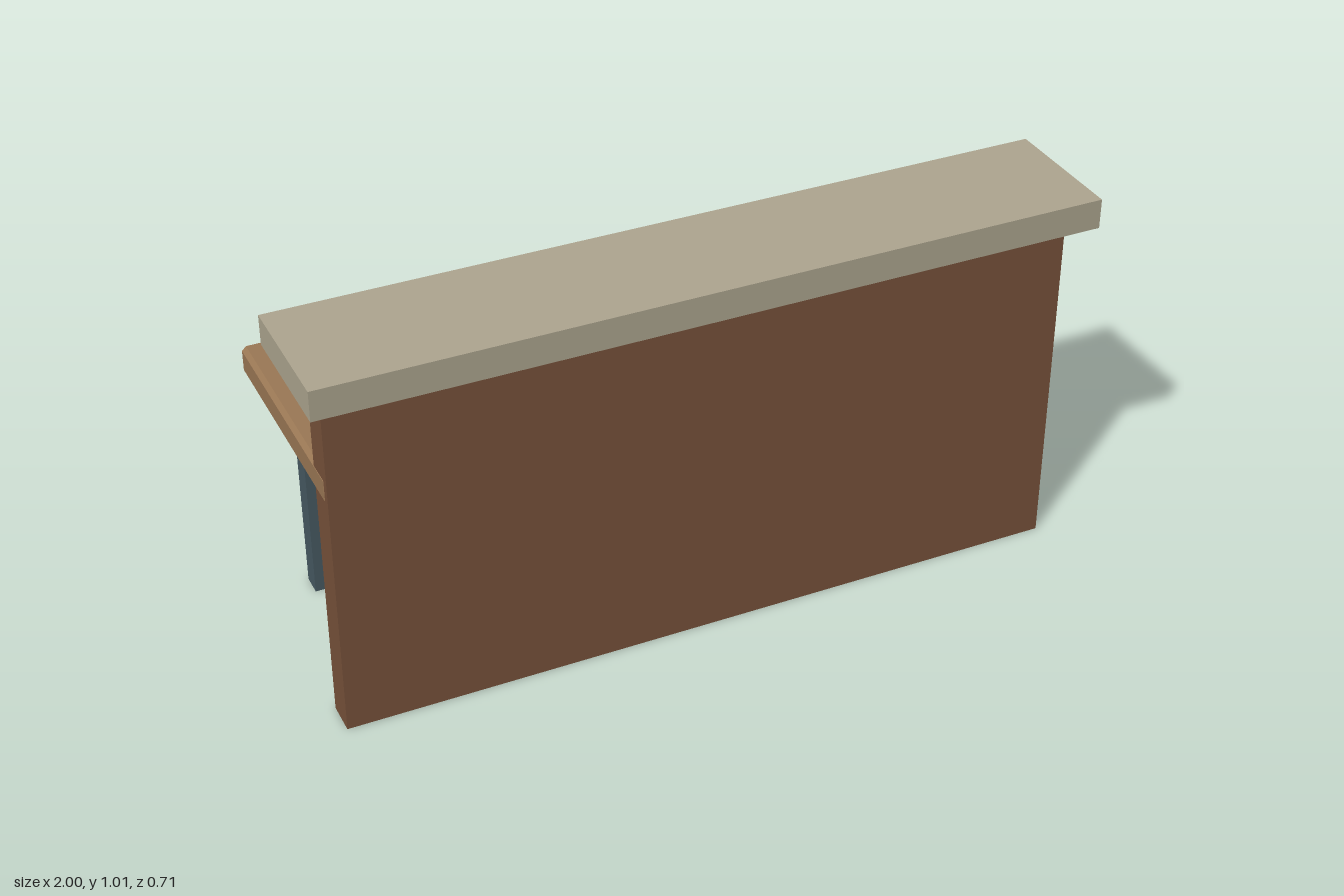
import * as THREE from 'three';
import { ConvexGeometry } from 'three/addons/geometries/ConvexGeometry.js';

function material(name, color) {
  const m = new THREE.MeshStandardMaterial({ color });
  m.name = name;
  return m;
}

// Box with every edge cut at 45 degrees: three points around each corner
function chamferedBox(w, h, d, c) {
  const points = [];
  for (const sx of [-1, 1]) for (const sy of [-1, 1]) for (const sz of [-1, 1]) {
    const x = w / 2, y = h / 2, z = d / 2;
    points.push(
      new THREE.Vector3(sx * x, sy * (y - c), sz * (z - c)),
      new THREE.Vector3(sx * (x - c), sy * y, sz * (z - c)),
      new THREE.Vector3(sx * (x - c), sy * (y - c), sz * z)
    );
  }
  return new ConvexGeometry(points);
}

export function createModel() {
  const group = new THREE.Group();
  group.name = 'receptionDesk';

  const stone = material('stone beige', 0xaea690);
  const darkWood = material('dark wood', 0x78533b);
  const lightWood = material('light wood', 0x9b7855);
  const steel = material('blue grey steel', 0x475a63);

  const add = (name, geometry, mat, x, y, z) => {
    const mesh = new THREE.Mesh(geometry, mat);
    mesh.name = name;
    mesh.position.set(x, y, z);
    group.add(mesh);
  };

  // Front panel and the raised counter above it
  add('frontPanel', new THREE.BoxGeometry(1.91, 0.94, 0.086), darkWood, 0, 0.47, 0.235);
  add('counterTop', new THREE.BoxGeometry(2, 0.078, 0.347), stone, 0, 0.975, 0.182);

  // Work surface, let into the panel and just proud of its ends
  add('workSurface', chamferedBox(1.912, 0.076, 0.623, 0.011), lightWood, 0, 0.679, -0.0435);

  // Four square legs; the front pair is partly sunk into the panel
  const legShape = new THREE.BoxGeometry(0.058, 0.645, 0.058);
  for (const [side, sx] of [['left', 1], ['right', -1]]) {
    add(side + 'BackLeg', legShape, steel, sx * 0.822, 0.3225, -0.293);
    add(side + 'FrontLeg', legShape, steel, sx * 0.822, 0.3225, 0.207);
  }

  return group;
}
